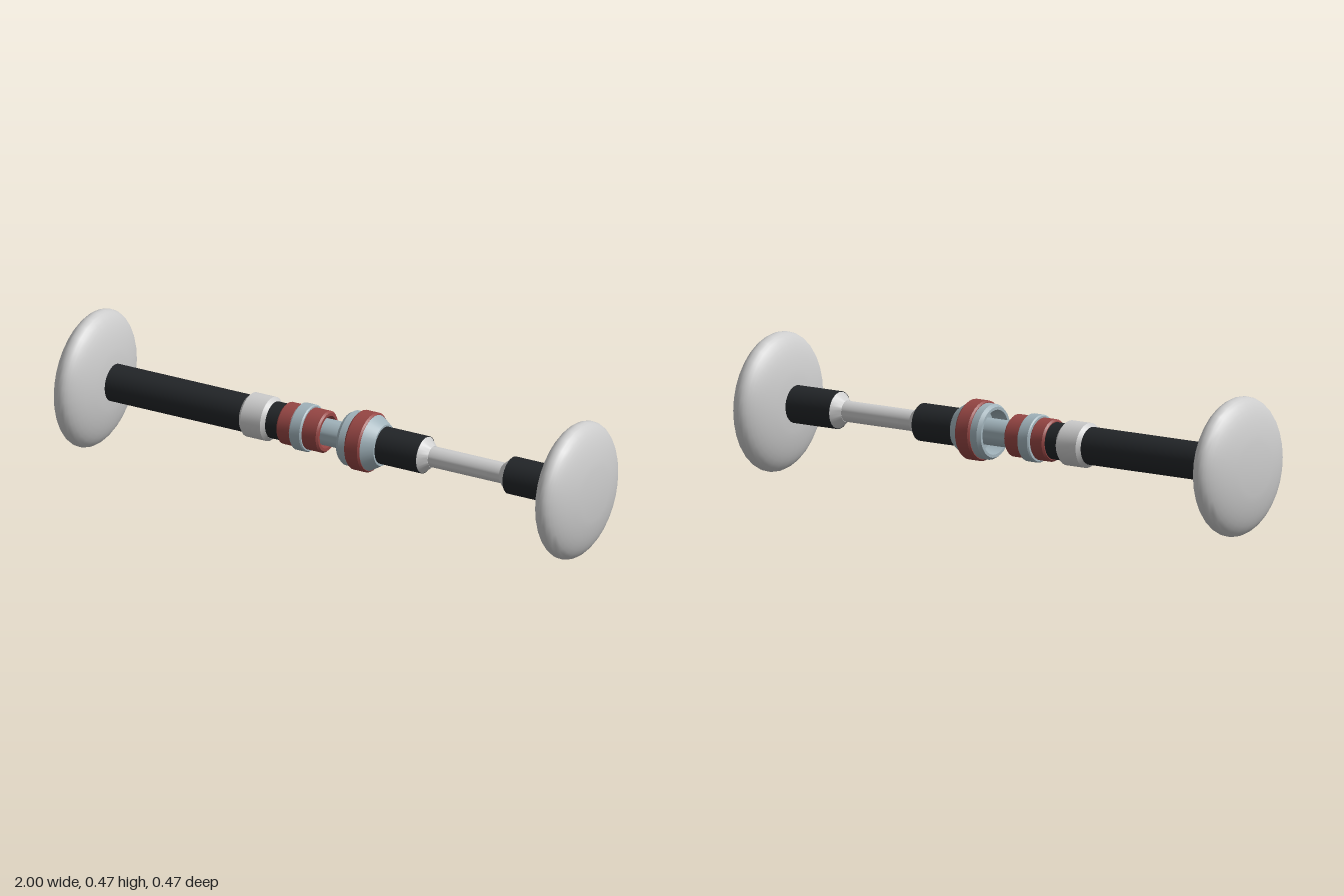
import * as THREE from 'three';
import { toCreasedNormals } from 'three/addons/utils/BufferGeometryUtils.js';

const AXIS_Y = 0.235;
const material = (color) => new THREE.MeshStandardMaterial({ color, side: THREE.DoubleSide });

export function createModel() {
  const model = new THREE.Group();
  const grey = material(0xcccccc);
  const black = material(0x222528);
  const red = material(0x964644);
  const steel = material(0xa0b2ba);

  // Turned part: profile of [x, radius] pairs, spun around the long axis
  function turned(name, profile, mat, crease = 0.5) {
    const points = profile.map(([x, r]) => new THREE.Vector2(r, x));
    const geometry = new THREE.LatheGeometry(points, 32);
    geometry.rotateZ(-Math.PI / 2);
    const mesh = new THREE.Mesh(toCreasedNormals(geometry, crease), mat);
    mesh.name = name;
    mesh.position.y = AXIS_Y;
    model.add(mesh);
  }

  // Closed ring or rod with chamfered rims
  function band(name, x0, x1, r, mat, bevel = 0) {
    turned(name, [[x0, 0], [x0, r - bevel], [x0 + bevel, r], [x1 - bevel, r], [x1, r - bevel], [x1, 0]]
      .filter((p, i, all) => i === 0 || p[0] !== all[i - 1][0] || p[1] !== all[i - 1][1]), mat);
  }

  // Rounded end discs with a flat seat in the middle of each face
  for (const side of [-1, 1]) {
    const cx = side * 0.922;
    const profile = [[cx - 0.076, 0]];
    const start = Math.asin(0.09 / 0.234);
    for (let i = 0; i <= 20; i++) {
      const a = start + (Math.PI - 2 * start) * i / 20;
      profile.push([cx - 0.078 * Math.cos(a), 0.234 * Math.sin(a)]);
    }
    profile.push([cx + 0.076, 0]);
    turned(side < 0 ? 'rightEndDisc' : 'leftEndDisc', profile, grey, 0.9);
  }

  // Long grip and its collar
  band('longGrip', -0.86, -0.325, 0.063, black);
  band('collar', -0.335, -0.235, 0.075, grey, 0.012);
  band('gripSleeve', -0.24, -0.185, 0.062, black);

  // Stacked rings
  band('outerRedRing', -0.19, -0.133, 0.071, red, 0.006);
  band('middleRing', -0.135, -0.09, 0.08, steel, 0.004);
  turned('innerRedRing', [[-0.092, 0], [-0.092, 0.071], [-0.036, 0.071], [-0.03, 0.065],
    [-0.03, 0.055], [-0.06, 0.05], [-0.06, 0]], red);

  // Core linking both halves
  band('core', -0.07, 0.12, 0.045, steel);

  // Hollow coupling cup with a red belt
  turned('couplingCup', [[0.105, 0], [0.105, 0.068], [0.05, 0.075], [0.05, 0.085], [0.062, 0.093],
    [0.145, 0.095], [0.185, 0.07], [0.185, 0]], steel);
  turned('redBelt', [[0.088, 0.09], [0.088, 0.096], [0.094, 0.101], [0.14, 0.101],
    [0.146, 0.096], [0.146, 0.09]], red);

  // Short grip, tapers, slim rod and rear sleeve
  band('shortGrip', 0.18, 0.343, 0.063, black);
  turned('innerTaper', [[0.343, 0], [0.343, 0.061], [0.372, 0.036], [0.372, 0]], grey);
  band('slimRod', 0.36, 0.655, 0.035, grey);
  turned('outerTaper', [[0.645, 0], [0.645, 0.036], [0.675, 0.061], [0.675, 0]], grey);
  band('endSleeve', 0.675, 0.86, 0.063, black);

  return model;
}
